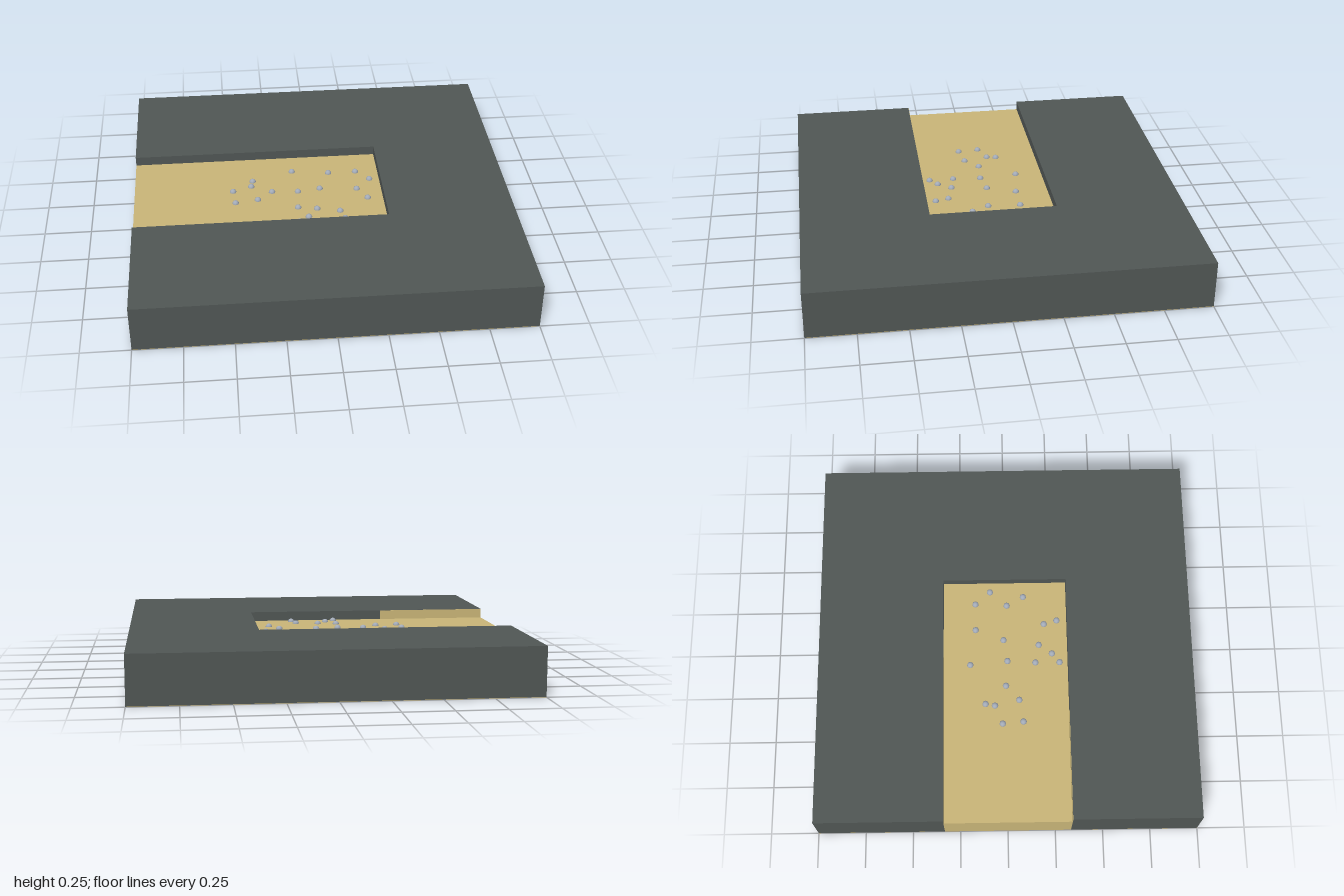
import * as THREE from 'three';

const H = 0.25, FLOOR = 0.2, SKIN = 0.002; // slab top, channel floor, underside layer
const IN = 1 / 3;                          // channel half width and its closed end in x

const stone = new THREE.MeshStandardMaterial({ color: 0x505654 });
const sand = new THREE.MeshStandardMaterial({ color: 0xc8b477 });
const pebble = new THREE.MeshStandardMaterial({ color: 0xa3abb8, side: THREE.DoubleSide });

// x and z of each pebble on the channel floor
const SPOTS = [
  [-0.14, -0.19], [0.06, -0.16], [0.21, -0.16], [0.28, -0.08], [-0.36, -0.11],
  [-0.37, -0.06], [-0.47, -0.02], [-0.46, 0.09], [-0.26, 0], [-0.34, 0.07],
  [-0.12, 0.01], [0, -0.01], [0.2, 0.01], [0.25, 0.1], [-0.13, 0.16],
  [-0.03, 0.18], [0.09, 0.21], [-0.08, 0.25], [-0.13, 0.29], [0.11, 0.28],
];

// Box given by its minimum and maximum corners
function box(name, material, [x0, y0, z0], [x1, y1, z1]) {
  const mesh = new THREE.Mesh(new THREE.BoxGeometry(x1 - x0, y1 - y0, z1 - z0), material);
  mesh.position.set((x0 + x1) / 2, (y0 + y1) / 2, (z0 + z1) / 2);
  mesh.name = name;
  return mesh;
}

export function createModel() {
  const model = new THREE.Group();
  model.name = 'channelTile';

  // Dark U-shaped surround, open toward -x
  const outline = [[-1, -1], [1, -1], [1, 1], [-1, 1], [-1, IN], [IN, IN], [IN, -IN], [-1, -IN]];
  const shape = new THREE.Shape(outline.map(([x, y]) => new THREE.Vector2(x, y)));
  const surround = new THREE.Mesh(
    new THREE.ExtrudeGeometry(shape, { depth: H - SKIN, bevelEnabled: false }), stone);
  surround.rotation.x = -Math.PI / 2;
  surround.position.y = SKIN;
  surround.name = 'surround';
  model.add(surround);

  // Sand channel bed, underside and the sandy stretch of the channel wall
  model.add(
    box('channelBed', sand, [-1, SKIN, -IN], [IN, FLOOR, IN]),
    box('underside', sand, [-1, 0, -1], [1, SKIN, 1]),
    box('sandyWall', sand, [-1, FLOOR, IN - SKIN], [-0.41, H - 0.0005, IN]),
  );

  // Small domed pebbles scattered on the bed
  const pebbles = new THREE.Group();
  pebbles.name = 'pebbles';
  const dome = new THREE.SphereGeometry(0.018, 8, 4, 0, Math.PI * 2, 0, Math.PI / 2);
  for (const [x, z] of SPOTS) {
    const mesh = new THREE.Mesh(dome, pebble);
    mesh.position.set(x, FLOOR, z);
    mesh.name = 'pebble';
    pebbles.add(mesh);
  }
  model.add(pebbles);
  return model;
}
